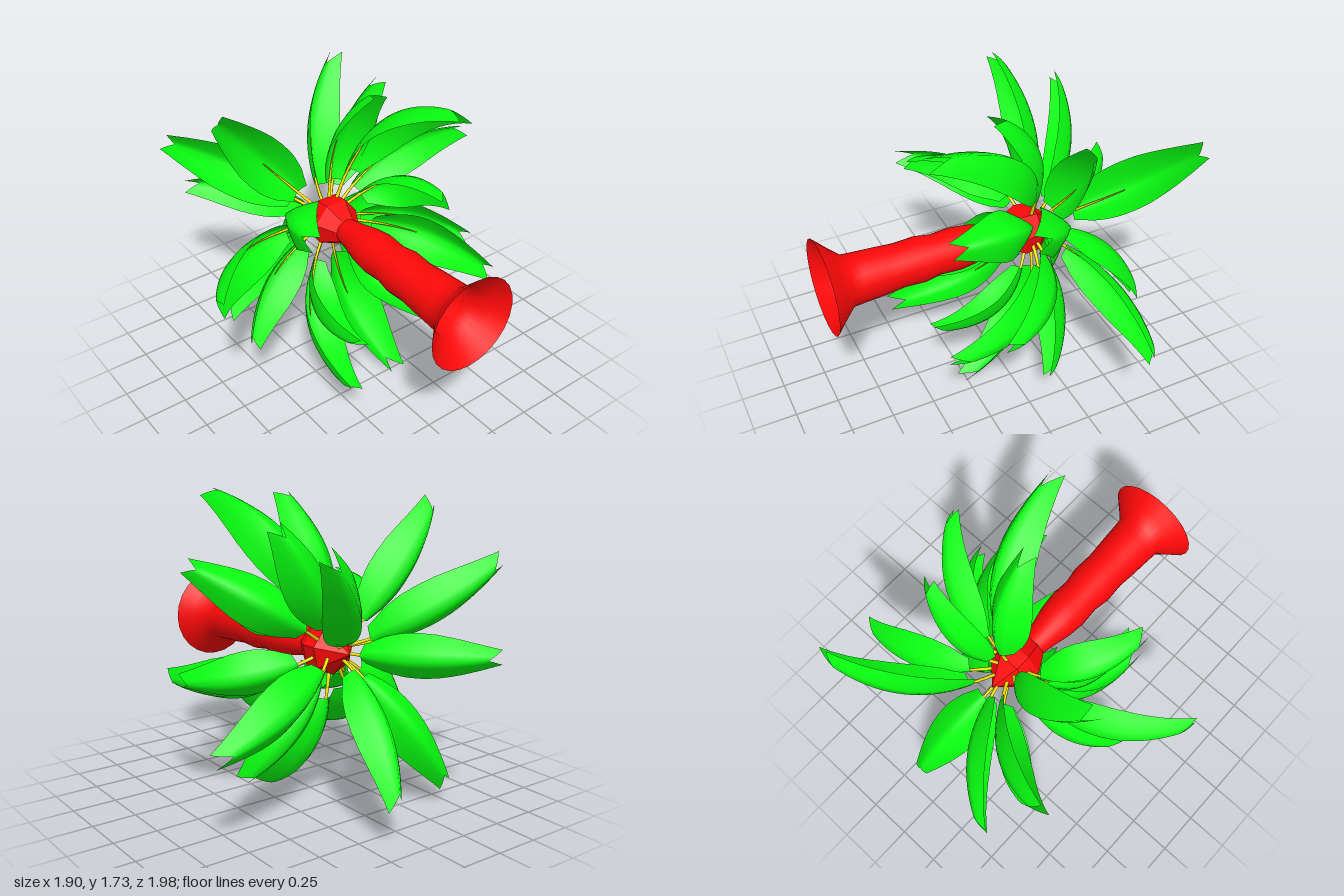
import * as THREE from 'three';

const material = (color, flat = false) =>
  new THREE.MeshStandardMaterial({ color, flatShading: flat, side: THREE.DoubleSide });
const RED = 0xff0808, GREEN = 0x08ff10, YELLOW = 0xfff008;
const HUB = new THREE.Vector3(0.02, 0.9, -0.2);

// frond tips [x, y, z] and width of the blade
const FRONDS = [
  // long outer fronds
  [-0.97, 0.94, 0.2, 0.28], [-0.71, 1.4, -0.79, 0.27], [-0.63, 1.69, -0.32, 0.29],
  [0.15, 1.77, 0.06, 0.27], [0.36, 1.75, 0.51, 0.28], [0.6, 1.55, -0.96, 0.28],
  [0.75, 1.4, 0.1, 0.27], [0.95, 0.53, -0.53, 0.28], [0.54, 0.2, -0.12, 0.28],
  [0.16, -0.01, 0.27, 0.28], [-0.49, 0.12, -0.65, 0.27], [-0.66, 0.38, -0.04, 0.27],
  [-0.49, 0.93, -1.01, 0.25], [0.15, 0.23, -0.95, 0.27], [0.47, 1.62, -0.35, 0.27],
  // fronds hanging over the trunk
  [0.64, 0.67, 0.54, 0.27], [0.73, 0.72, 0.24, 0.26], [-0.36, 0.29, 0.53, 0.27],
  [-0.48, 1.22, 0.33, 0.28], [0.38, 1.19, 0.41, 0.28], [-0.3, 0.58, 0.52, 0.24],
  [0.2, 0.52, 0.47, 0.24],
];

// Curve from the hub to the tip, bulging toward the crown's far end
function frondCurve(tip) {
  const chord = tip.clone().sub(HUB), length = chord.length();
  const dir = chord.clone().normalize();
  const out = new THREE.Vector3(0, 0, -1).addScaledVector(dir, dir.z).normalize();
  const bend = length * (0.31 + 0.3 * Math.max(0, dir.z));
  const control = HUB.clone().addScaledVector(chord, 0.5).addScaledVector(out, bend);
  return { curve: new THREE.QuadraticBezierCurve3(HUB, control, tip), out };
}

// Folded blade swept along the curve, with a notched tip
function bladeGeometry(curve, out, width) {
  const rows = 16, cols = 6, start = 0.22;
  const widths = [0.42, 0.8, 0.97, 1, 0.95, 0.8, 0.58, 0.32];
  const pos = [], index = [];
  for (let i = 0; i <= rows; i++) {
    const s = i / rows, f = s * (widths.length - 1), k = Math.min(Math.floor(f), widths.length - 2);
    const half = 0.5 * width * THREE.MathUtils.lerp(widths[k], widths[k + 1], f - k);
    for (let j = 0; j <= cols; j++) {
      const u = (j / cols) * 2 - 1;
      const notch = 0.08 * (1 - Math.abs(u)) * s ** 8;
      const t = start + (1 - start) * s - notch;
      const tangent = curve.getTangent(t);
      const normal = out.clone().addScaledVector(tangent, -out.dot(tangent)).normalize();
      const side = new THREE.Vector3().crossVectors(tangent, normal);
      const p = curve.getPoint(t)
        .addScaledVector(side, half * u)
        .addScaledVector(normal, half * (0.08 - 0.95 * Math.abs(u) ** 1.3));
      pos.push(p.x, p.y, p.z);
      if (i < rows && j < cols) {
        const a = i * (cols + 1) + j, b = a + cols + 1;
        index.push(a, a + 1, b, a + 1, b + 1, b);
      }
    }
  }
  const g = new THREE.BufferGeometry();
  g.setAttribute('position', new THREE.Float32BufferAttribute(pos, 3));
  g.setIndex(index);
  g.computeVertexNormals();
  return g;
}

// Thin tapering stalk under the blade
function stalkGeometry(curve, out) {
  const pts = [];
  for (let i = 0; i <= 8; i++)
    pts.push(curve.getPoint(0.06 + 0.44 * i / 8).addScaledVector(out, -0.014 * Math.min(1, i / 4)));
  const path = new THREE.CatmullRomCurve3(pts);
  const g = new THREE.TubeGeometry(path, 10, 0.012, 5, false);
  const p = g.attributes.position, v = new THREE.Vector3();
  for (let i = 0; i < p.count; i++) {
    const t = Math.floor(i / 6) / 10, c = path.getPointAt(t);
    v.fromBufferAttribute(p, i).sub(c).multiplyScalar(1 - 0.8 * t).add(c);
    p.setXYZ(i, v.x, v.y, v.z);
  }
  return g;
}

// Solid of revolution along z from [radius, z] pairs
function turned(profile, segments) {
  const g = new THREE.LatheGeometry(profile.map(([r, z]) => new THREE.Vector2(r, z)), segments);
  g.rotateX(Math.PI / 2);
  g.translate(HUB.x, HUB.y, 0);
  return g;
}

export function createModel() {
  const model = new THREE.Group();
  const add = (name, geometry, mat, parent = model) => {
    const mesh = new THREE.Mesh(geometry, mat);
    mesh.name = name;
    parent.add(mesh);
  };

  // trunk: flared open foot and gently ringed shaft
  add('trunk', turned([
    [0.07, -0.06], [0.085, 0.03], [0.11, 0.14], [0.122, 0.24], [0.115, 0.36], [0.13, 0.45],
    [0.124, 0.57], [0.133, 0.68], [0.14, 0.8], [0.145, 0.87], [0.2, 0.93], [0.27, 1.0],
  ], 24), material(RED));

  // faceted bud that holds the fronds
  add('crownBud', turned([
    [0.001, -0.38], [0.14, -0.24], [0.145, -0.15], [0.085, -0.05], [0.001, 0.0],
  ], 7), material(RED, true));

  const green = material(GREEN), yellow = material(YELLOW);
  FRONDS.forEach(([x, y, z, width]) => {
    const frond = new THREE.Group();
    frond.name = 'frond';
    const { curve, out } = frondCurve(new THREE.Vector3(x, y, z));
    add('blade', bladeGeometry(curve, out, width), green, frond);
    add('stalk', stalkGeometry(curve, out), yellow, frond);
    model.add(frond);
  });
  return model;
}
